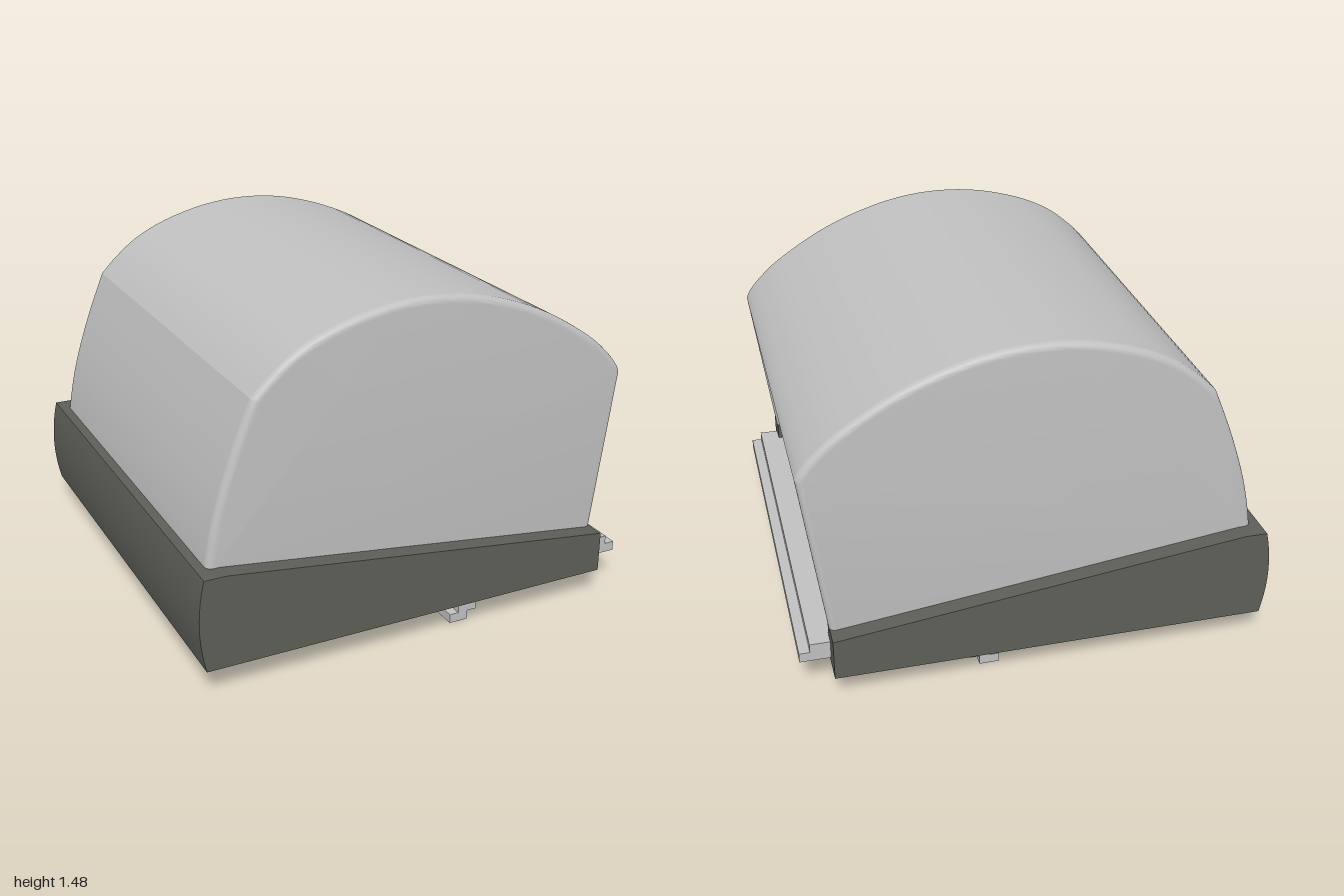
import * as THREE from 'three';
import { toCreasedNormals } from 'three/addons/utils/BufferGeometryUtils.js';

const shellGrey = new THREE.MeshStandardMaterial({ color: 0xc0c0c0 });
shellGrey.name = 'light grey';
const frameGrey = new THREE.MeshStandardMaterial({ color: 0x5e5e58 });
frameGrey.name = 'dark olive grey';

const vec = (list) => list.map(([x, y]) => new THREE.Vector2(x, y));

// Extrude a closed outline in the xy plane between two z values
function slab(name, points, z0, z1, material, round = 0) {
  const geo = new THREE.ExtrudeGeometry(new THREE.Shape(points), {
    depth: z1 - z0 - 2 * round,
    bevelEnabled: round > 0,
    bevelThickness: round, bevelSize: round, bevelOffset: -round, bevelSegments: 6,
  });
  geo.translate(0, 0, z0 + round);
  const mesh = new THREE.Mesh(toCreasedNormals(geo, 0.33), material);
  mesh.name = name;
  return mesh;
}

// Arc from (x, 0.12) to (x, 0.52), bulging towards -x
function bulge(x, depth, steps = 16) {
  return Array.from({ length: steps + 1 }, (_, i) => {
    const t = i / steps;
    return new THREE.Vector2(x - depth * 4 * t * (1 - t), 0.12 + 0.4 * t);
  });
}

function createHood() {
  const hood = new THREE.Group();
  hood.name = 'hood';

  // Outer profile: rear wall, then the arched roof down to the front lip
  const rear = new THREE.SplineCurve(vec([
    [-0.938, 0.48], [-0.928, 0.56], [-0.9, 0.7], [-0.86, 0.84], [-0.8, 1.01], [-0.73, 1.18]])).getPoints(15);
  const roof = new THREE.SplineCurve(vec([
    [-0.73, 1.18], [-0.66, 1.25], [-0.55, 1.335], [-0.4, 1.405], [-0.2, 1.458], [0, 1.475], [0.2, 1.457],
    [0.4, 1.403], [0.6, 1.317], [0.8, 1.192], [0.9, 1.104], [0.95, 1.045], [0.967, 1.01]])).getPoints(48);
  const outer = [...rear, ...roof.slice(1)];

  // Inner profile, offset by the wall thickness
  const inner = outer.map((p, i) => {
    const a = outer[Math.max(i - 1, 0)], b = outer[Math.min(i + 1, outer.length - 1)];
    const t = b.clone().sub(a).normalize();
    return new THREE.Vector2(p.x + t.y * 0.05, p.y - t.x * 0.05);
  }).filter((p) => p.x < 0.86);
  inner.push(new THREE.Vector2(0.905, 1.013));
  hood.add(slab('roofAndRearWall', [...outer, ...inner.reverse()], -0.885, 0.885, shellGrey));

  // Rounded side walls, sunk a little into the frame
  const side = [...outer, ...vec([[0.867, 0.27]])];
  hood.add(slab('leftWall', side, 0.85, 0.915, shellGrey, 0.03));
  hood.add(slab('rightWall', side, -0.915, -0.85, shellGrey, 0.03));
  return hood;
}

function createFrame() {
  const frame = new THREE.Group();
  frame.name = 'frame';
  const back = bulge(-0.975, 0.025);
  // Wedge-shaped side arms
  const arm = [...back, ...vec([[-0.88, 0.52], [0.87, 0.3], [0.87, 0.12]])];
  frame.add(slab('leftArm', arm, 0.845, 0.99, frameGrey));
  frame.add(slab('rightArm', arm, -0.99, -0.845, frameGrey));
  // Curved rear beam
  const beam = [...back, ...bulge(-0.88, 0.025).reverse()];
  frame.add(slab('rearBeam', beam, -0.845, 0.845, frameGrey));
  return frame;
}

function createTray() {
  // Flat plate with a stepped front lip and a stair going down at its rear
  const outline = [[1, 0.155], [1, 0.197], [0.955, 0.197], [0.955, 0.235], [0.365, 0.235]];
  const steps = 5;
  for (let i = steps; i > 0; i--) {
    const x = 0.16 + 0.041 * i;
    outline.push([x, 0.04 * i], [x - 0.041, 0.04 * i]);
  }
  outline[4][0] = 0.365;
  outline.push([0.16, 0]);
  for (let i = 1; i <= steps; i++) {
    const x = 0.204 + 0.041 * i;
    outline.push([x, 0.04 * (i - 1)], [x, 0.04 * i - (i === steps ? 0.003 : 0)]);
  }
  outline.push([0.85, 0.197], [0.85, 0.155]);
  return slab('steppedTray', vec(outline), -0.895, 0.92, shellGrey);
}

export function createModel() {
  const model = new THREE.Group();
  model.name = 'hoodedStand';
  model.add(createHood(), createFrame(), createTray());
  return model;
}
